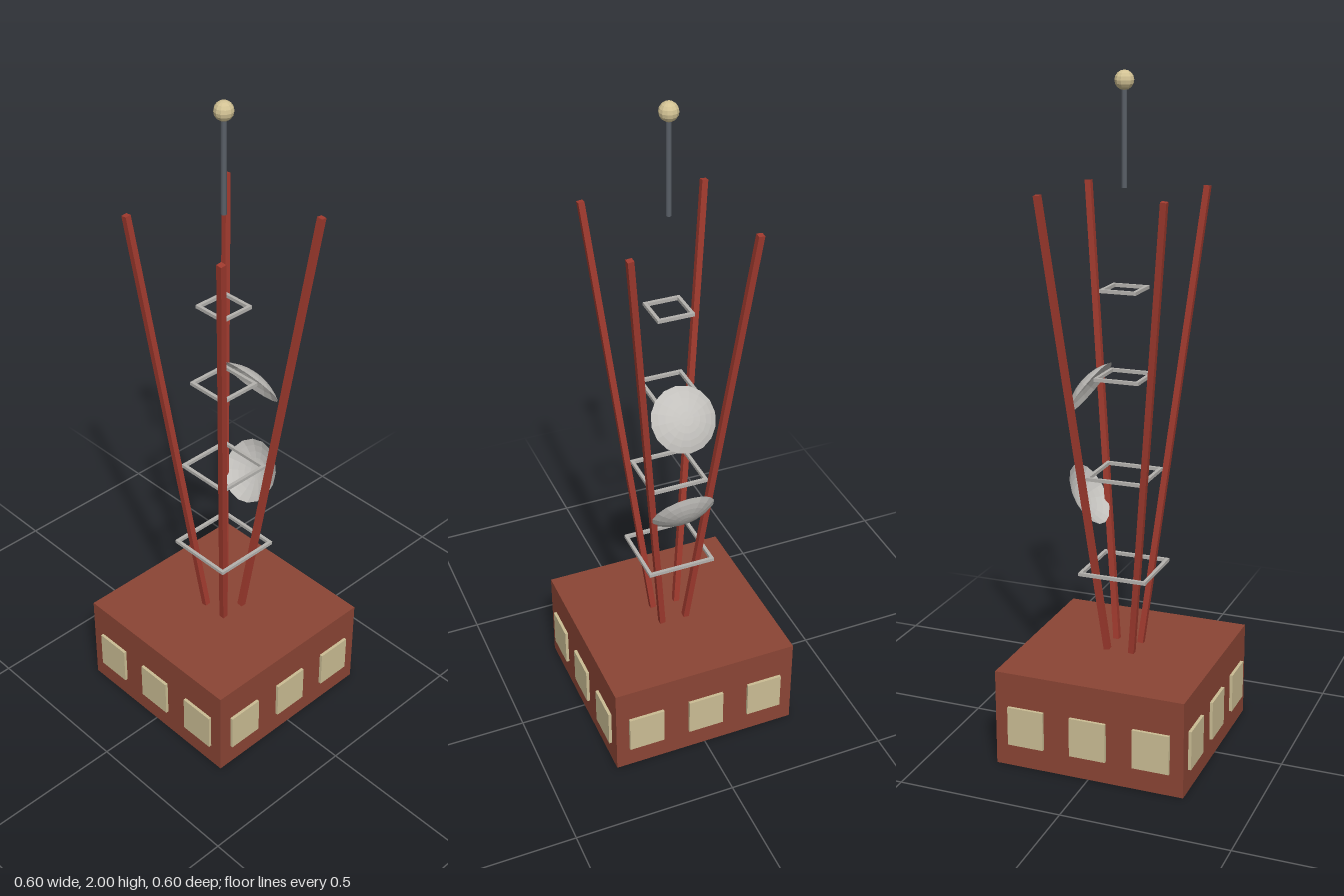
import * as THREE from 'three';

const mat = (name, color, extra = {}) => {
  const m = new THREE.MeshStandardMaterial({ color, ...extra });
  m.name = name;
  return m;
};

export function createModel() {
  const brick = mat('brick', 0x8b4535);
  const legRed = mat('tower red', 0xa03a2e);
  const cream = mat('cream', 0xcbbd94);
  const steel = mat('pale steel', 0xb4b2ae);
  const dishGrey = mat('dish grey', 0xc2c0bc, { flatShading: true, side: THREE.DoubleSide });
  const mastGrey = mat('mast grey', 0x5a6068);
  const lamp = mat('lamp', 0xd2c294, { flatShading: true });

  const model = new THREE.Group();
  const add = (parent, name, geometry, material, x = 0, y = 0, z = 0) => {
    const mesh = new THREE.Mesh(geometry, material);
    mesh.name = name;
    mesh.position.set(x, y, z);
    parent.add(mesh);
    return mesh;
  };

  // Building with three windows on each side
  add(model, 'building', new THREE.BoxGeometry(0.584, 0.295, 0.584), brick, 0, 0.1475, 0);
  const pane = new THREE.BoxGeometry(0.112, 0.12, 0.0095);
  for (let side = 0; side < 4; side++) {
    const wall = new THREE.Group();
    wall.name = 'windowRow';
    wall.rotation.y = side * Math.PI / 2;
    for (const x of [-0.195, 0, 0.195]) add(wall, 'window', pane, cream, x, 0.13, 0.2965);
    model.add(wall);
  }

  // Four legs leaning outwards towards the top
  const leg = new THREE.BoxGeometry(0.018, 1.386, 0.018);
  for (const sx of [-1, 1]) for (const sz of [-1, 1]) {
    const m = add(model, 'towerLeg', leg, legRed, sx * 0.111, 0.988, sz * 0.111);
    m.rotation.set(sz * 0.104, 0, -sx * 0.104);
  }

  // Square brace rings: [height, half width]
  for (const [y, h] of [[0.555, 0.1], [0.846, 0.083], [1.14, 0.063], [1.395, 0.05]]) {
    const ring = new THREE.Group();
    ring.name = 'braceRing';
    ring.position.y = y;
    const bar = new THREE.BoxGeometry(2 * h + 0.01, 0.01, 0.01);
    for (let i = 0; i < 4; i++) {
      const a = i * Math.PI / 2;
      add(ring, 'braceBar', bar, steel, h * Math.sin(a), 0, h * Math.cos(a)).rotation.y = a;
    }
    model.add(ring);
  }

  // Shallow dishes bulging outwards, one tilted up and one down
  const r = 0.172, spread = 0.6;
  const dish = new THREE.SphereGeometry(r, 16, 5, 0, Math.PI * 2, 0, spread);
  dish.translate(0, -r * Math.cos(spread), 0);
  add(model, 'upperDish', dish, dishGrey, 0.108, 1.096, 0).rotation.z = 0.63 - Math.PI / 2;
  add(model, 'lowerDish', dish, dishGrey, 0.11, 0.772, 0).rotation.z = -0.54 - Math.PI / 2;

  // Mast with a lamp on top
  add(model, 'mast', new THREE.CylinderGeometry(0.008, 0.008, 0.29, 8), mastGrey, 0, 1.825, 0);
  add(model, 'beacon', new THREE.SphereGeometry(0.0275, 12, 8), lamp, 0, 1.9725, 0);

  return model;
}
